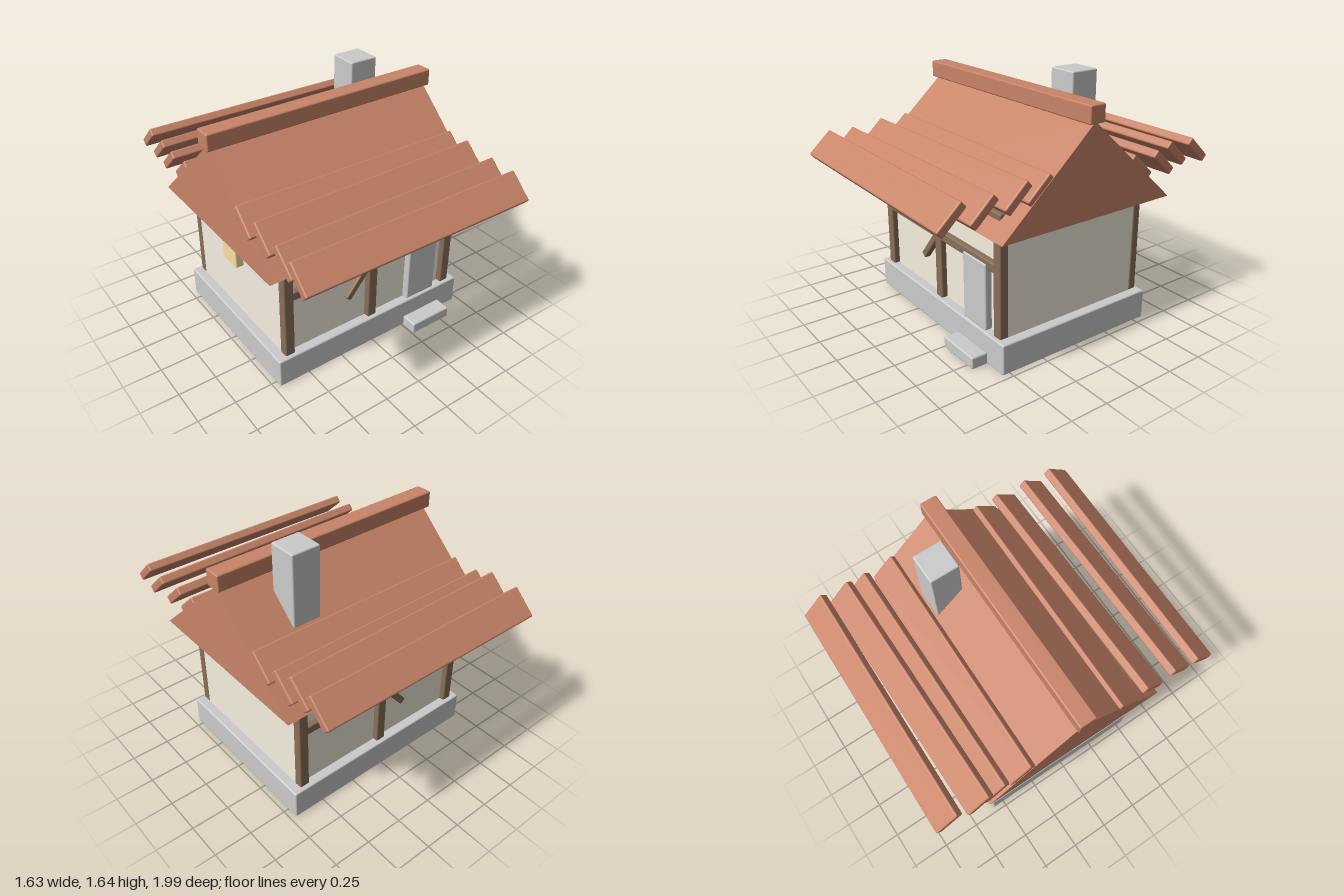
import * as THREE from 'three';
import { RoundedBoxGeometry } from 'three/addons/geometries/RoundedBoxGeometry.js';

const paint = (color) => new THREE.MeshStandardMaterial({ color });

export function createModel() {
  const house = new THREE.Group();
  house.name = 'cottage';
  const stone = paint(0xcccccc);
  const plaster = paint(0xf6f0e0);
  const wood = paint(0x8a7059);
  const tile = paint(0xc88468);
  const glow = paint(0xfce0a0);

  // Soft-edged block given by its limits on each axis
  function block(name, material, [x0, x1], [y0, y1], [z0, z1], radius = 0.01) {
    const geometry = new RoundedBoxGeometry(x1 - x0, y1 - y0, z1 - z0, 2, radius);
    const mesh = new THREE.Mesh(geometry, material);
    mesh.name = name;
    mesh.position.set((x0 + x1) / 2, (y0 + y1) / 2, (z0 + z1) / 2);
    house.add(mesh);
    return mesh;
  }

  // Base, step, door and chimney
  block('foundation', stone, [-0.715, 0.715], [0, 0.195], [-0.58, 0.55]);
  block('doorStep', stone, [0.255, 0.56], [0, 0.077], [0.55, 0.66]);
  block('door', stone, [0.29, 0.52], [0.195, 0.625], [0.475, 0.535]);
  block('chimney', stone, [0.29, 0.485], [1.05, 1.64], [-0.305, -0.115]);

  // Walls
  const walls = new THREE.Mesh(new THREE.BoxGeometry(1.306, 0.68, 1.01), plaster);
  walls.name = 'walls';
  walls.position.set(0, 0.53, -0.015);
  house.add(walls);

  // Windows
  block('frontWindow', glow, [-0.35, -0.16], [0.675, 0.845], [0.485, 0.537]);
  block('sideWindow', glow, [-0.706, -0.648], [0.59, 0.74], [-0.1, 0.06]);

  // Timber framing on the front and the back
  const faces = [['front', 0.47, 0.53], ['back', -0.557, -0.5]];
  for (const [side, z0, z1] of faces) {
    for (const x of [-0.624, 0, 0.624]) {
      block(side + 'Post', wood, [x - 0.034, x + 0.034], [0.195, 0.93], [z0, z1]);
    }
    block(side + 'MiddleRail', wood, [-0.656, 0.656], [0.595, 0.655], [z0 + 0.003, z1 - 0.003]);
    block(side + 'TopRail', wood, [-0.66, 0.66], [0.915, 0.975], [z0, z1]);
    const brace = block(side + 'Brace', wood, [-0.271, 0.176], [0.562, 0.608], [z0 + 0.002, z1 - 0.002]);
    brace.rotation.z = 0.88;
  }

  // Solid gable roof
  const gable = new THREE.Shape();
  gable.moveTo(-0.63, 0.86);
  gable.lineTo(0.63, 0.86);
  gable.lineTo(0, 1.43);
  const roof = new THREE.Mesh(
    new THREE.ExtrudeGeometry(gable, { depth: 1.59, bevelEnabled: false }).translate(0, 0, -0.795),
    tile
  );
  roof.name = 'roof';
  roof.rotation.y = Math.PI / 2;
  roof.position.z = -0.015;
  house.add(roof);

  // Ridge beam
  block('ridgeBeam', tile, [-0.815, 0.812], [1.42, 1.53], [-0.072, 0.04]);

  // Loose, slightly skewed roof planks: x, y, z, yaw
  const planks = [
    [-0.013, 1.078, 0.902, -0.008],
    [0.003, 1.078, 0.73, 0.01],
    [0.003, 1.105, 0.517, 0.014],
    [-0.003, 1.11, 0.345, -0.007],
    [0.001, 1.09, -0.235, 0.005],
    [0.002, 1.094, -0.405, -0.009],
    [0, 1.083, -0.592, 0.002],
    [-0.01, 1.115, -0.71, 0.007],
    [0.003, 1.11, -0.898, -0.009],
  ];
  const plankGeometry = new RoundedBoxGeometry(1.588, 0.055, 0.203, 2, 0.01);
  for (const [x, y, z, yaw] of planks) {
    const plank = new THREE.Mesh(plankGeometry, tile);
    plank.name = 'roofPlank';
    plank.position.set(x, y, z);
    plank.rotation.set(0.75 * Math.sign(z), yaw, 0, 'YXZ');
    house.add(plank);
  }

  return house;
}
